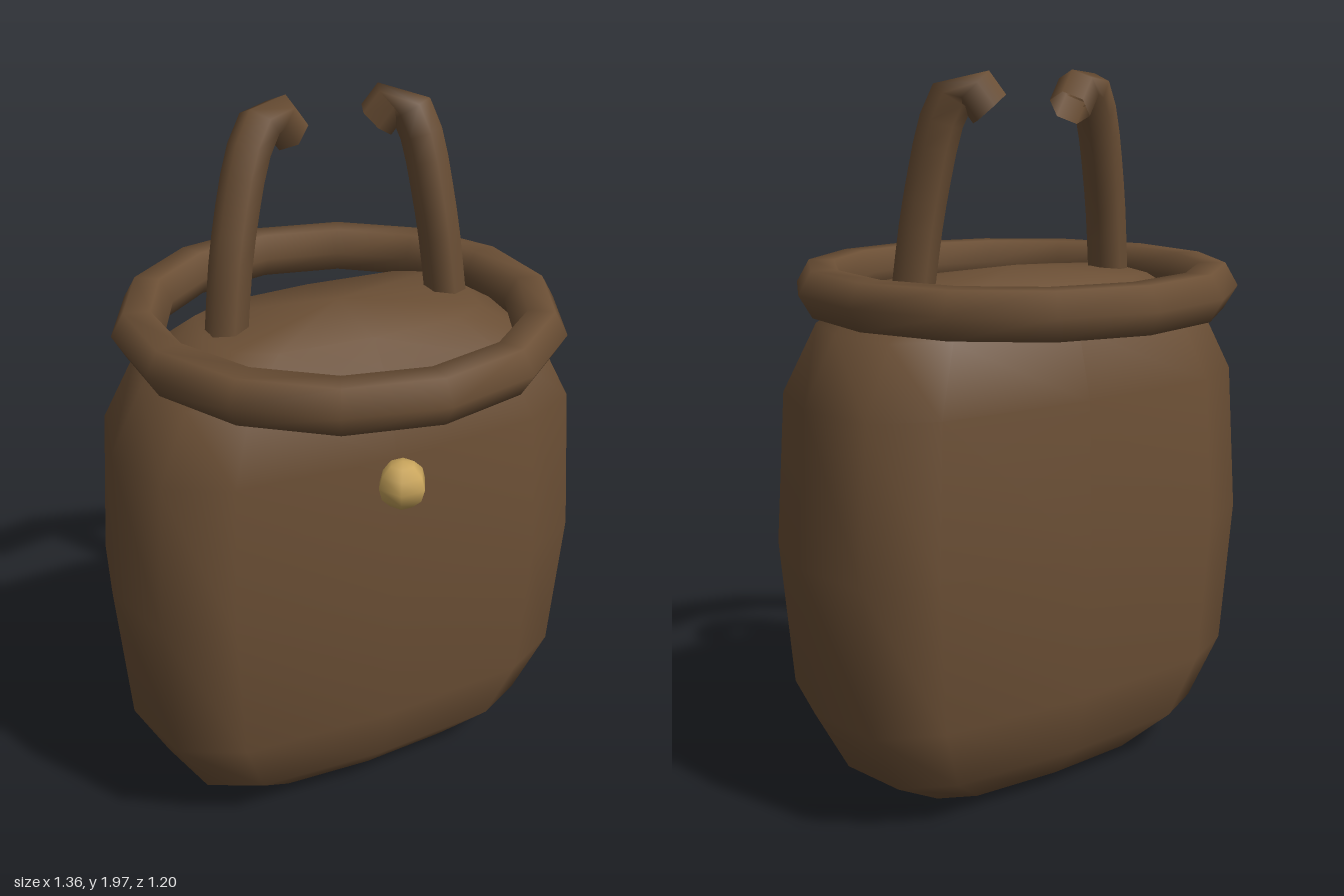
import * as THREE from 'three';
import { mergeVertices } from 'three/addons/utils/BufferGeometryUtils.js';

const leather = new THREE.MeshStandardMaterial({ color: 0x6b4f35, side: THREE.DoubleSide });
leather.name = 'brown leather';
const brass = new THREE.MeshStandardMaterial({ color: 0xc9a55c });
brass.name = 'brass';

// Sphere squared off into a soft pouch by a power on each coordinate
function pouchGeometry(rx, ry, rz, power) {
  const sphere = new THREE.SphereGeometry(1, 12, 8);
  sphere.deleteAttribute('uv');
  sphere.deleteAttribute('normal');
  const geometry = mergeVertices(sphere, 1e-4);
  const p = geometry.attributes.position;
  const puff = (v, r) => (Math.abs(v) < 1e-6 ? 0 : Math.sign(v) * Math.abs(v) ** power * r);
  for (let i = 0; i < p.count; i++) {
    p.setXYZ(i, puff(p.getX(i), rx), puff(p.getY(i), ry), puff(p.getZ(i), rz));
  }
  geometry.computeVertexNormals();
  return geometry;
}

// Open-ended strap swept along a curve
function strapGeometry(points) {
  const curve = new THREE.CatmullRomCurve3(points.map((q) => new THREE.Vector3(...q)));
  return new THREE.TubeGeometry(curve, 10, 0.056, 6, false);
}

export function createModel() {
  const group = new THREE.Group();
  group.name = 'pouch';
  const add = (name, geometry, material, x = 0, y = 0, z = 0) => {
    const mesh = new THREE.Mesh(geometry, material);
    mesh.name = name;
    mesh.position.set(x, y, z);
    group.add(mesh);
    return mesh;
  };

  // Bag body
  add('body', pouchGeometry(0.68, 0.73, 0.35, 0.59), leather, 0, 0.735, 0);

  // Rim ring around the mouth
  const rim = new THREE.TorusGeometry(0.53, 0.07, 6, 14);
  rim.rotateZ(Math.PI / 2).rotateX(Math.PI / 2);
  add('rim', rim, leather, 0, 1.415, 0);

  // Two curled drawstring ends
  add('rightStrap', strapGeometry([
    [-0.325, 1.38, 0], [-0.28, 1.66, -0.03], [-0.2, 1.89, -0.08],
    [-0.135, 1.945, -0.115], [-0.07, 1.88, -0.145],
  ]), leather);
  add('leftStrap', strapGeometry([
    [0.33, 1.38, 0], [0.3, 1.66, -0.03], [0.262, 1.89, -0.08],
    [0.228, 1.945, -0.115], [0.18, 1.88, -0.145],
  ]), leather);

  // Clasp button
  add('button', new THREE.SphereGeometry(0.067, 6, 6), brass, 0, 1.09, 0.365);

  return group;
}
